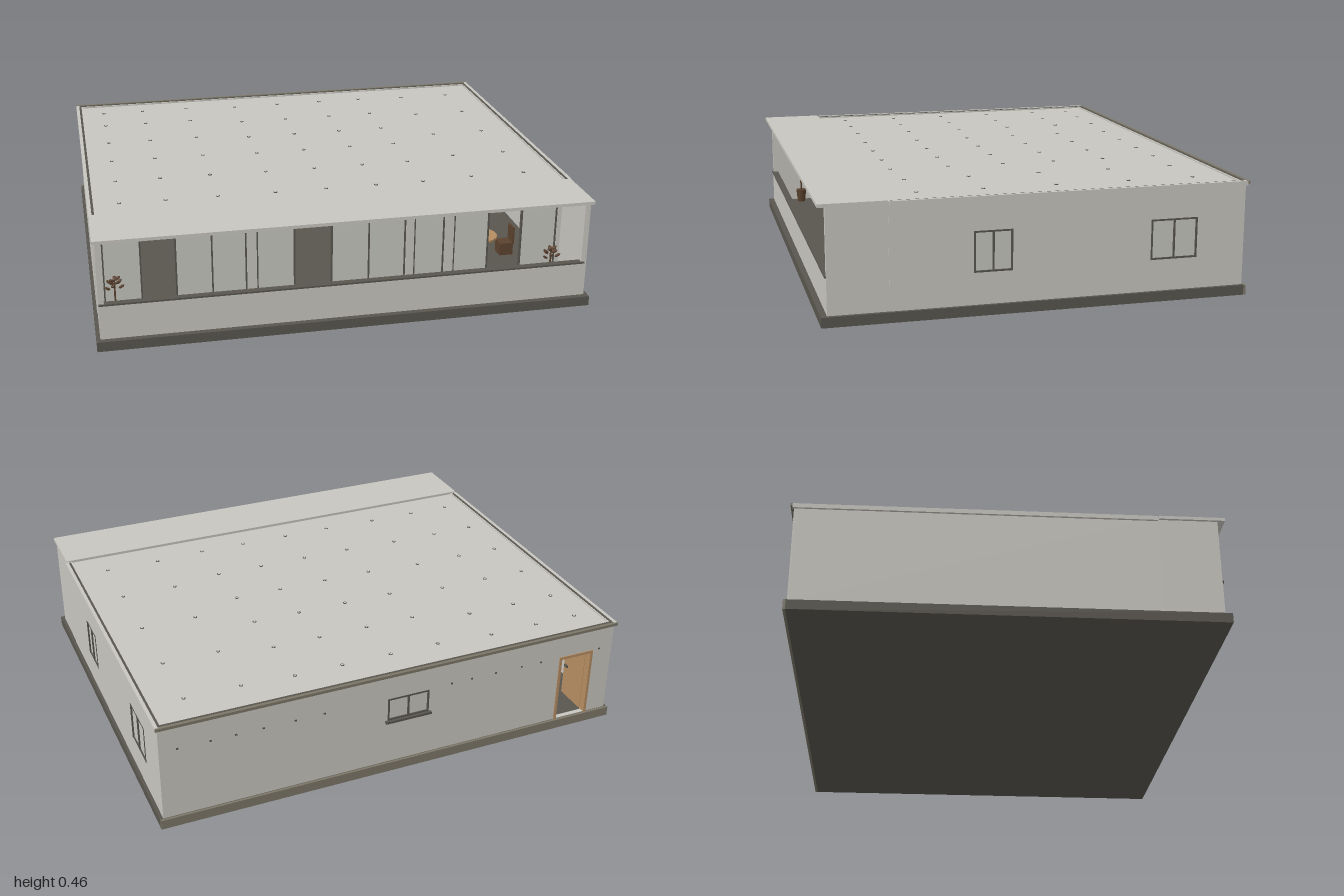
import * as THREE from 'three';

const mat = (name, color) => {
  const m = new THREE.MeshStandardMaterial({ color });
  m.name = name;
  return m;
};

export function createModel() {
  const plaster = mat('plaster', 0xc8c6bf);
  const pane = mat('pane', 0xc6c5be);
  const dark = mat('dark metal', 0x59564e);
  const plinth = mat('plinth', 0x7c7768);
  const wood = mat('wood', 0xb58d62);
  const brown = mat('dark wood', 0x5c4330);
  const white = mat('white', 0xeeeeea);
  const house = new THREE.Group();
  house.name = 'house';

  const add = (name, geo, m, parent = house) => {
    const mesh = new THREE.Mesh(geo, m);
    mesh.name = name;
    parent.add(mesh);
    return mesh;
  };
  // box given by its limits on each axis
  const box = (name, m, x0, x1, y0, y1, z0, z1, parent = house) => {
    const b = add(name, new THREE.BoxGeometry(x1 - x0, y1 - y0, z1 - z0), m, parent);
    b.position.set((x0 + x1) / 2, (y0 + y1) / 2, (z0 + z1) / 2);
    return b;
  };
  const group = (name, parent = house) => {
    const g = new THREE.Group();
    g.name = name;
    parent.add(g);
    return g;
  };
  // wall in the XY plane with rectangular holes [x0, x1, y0, y1]
  const wallGeo = (x0, x1, y0, y1, holes, depth) => {
    const rect = (P, a, b, c, d) => {
      const p = new P();
      p.moveTo(a, c); p.lineTo(b, c); p.lineTo(b, d); p.lineTo(a, d); p.closePath();
      return p;
    };
    const s = rect(THREE.Shape, x0, x1, y0, y1);
    for (const h of holes) s.holes.push(rect(THREE.Path, ...h));
    return new THREE.ExtrudeGeometry(s, { depth, bevelEnabled: false });
  };
  // framed window in the XY plane; bays listed in open carry no pane
  const windowUnit = (name, xs, y0, y1, open = [], frame = dark, t = 0.007) => {
    const g = group(name);
    const n = xs.length - 1;
    xs.forEach((x, i) => {
      const a = i === 0 ? x : i === n ? x - t : x - t / 2;
      box('mullion', frame, a, a + t, y0, y1, -0.008, 0.008, g);
    });
    box('headRail', frame, xs[0], xs[n], y1 - t, y1, -0.007, 0.007, g);
    box('bottomRail', frame, xs[0], xs[n], y0, y0 + t, -0.007, 0.007, g);
    for (let i = 0; i < n; i++) {
      if (!open.includes(i)) box('pane', pane, xs[i], xs[i + 1], y0, y1, -0.002, 0.002, g);
    }
    return g;
  };

  // base
  box('floorSlab', dark, -0.995, 0.995, 0, 0.04, -0.83, 0.835);
  box('backPlinth', plinth, -0.995, 0.995, 0, 0.04, -0.84, -0.829);

  // side walls with two windows on one side
  const sideWindows = [[0.11, 0.26], [-0.63, -0.44]];
  const holes = sideWindows.map(([a, b]) => [a, b, 0.165, 0.325]);
  const sideWall = add('windowedSideWall', wallGeo(-0.82, 0.58, 0.04, 0.455, holes, 0.02), plaster);
  sideWall.rotation.y = -Math.PI / 2;
  sideWall.position.x = 0.982;
  for (const [a, b] of sideWindows) {
    const w = windowUnit('sideWindow', [a, (a + b) / 2, b], 0.165, 0.325);
    w.rotation.y = -Math.PI / 2;
    w.position.x = 0.976;
  }
  box('plainSideWall', plaster, -0.982, -0.962, 0.04, 0.455, -0.82, 0.58);

  // back wall with a doorway and a small high window
  add('backWall', wallGeo(-0.982, 0.982, 0.04, 0.455,
    [[-0.89, -0.73, 0.041, 0.345], [-0.13, 0.05, 0.24, 0.34]], 0.02), plaster).position.z = -0.827;
  windowUnit('backWindow', [-0.13, -0.04, 0.05], 0.24, 0.34).position.z = -0.822;
  box('backWindowSill', dark, -0.14, 0.06, 0.23, 0.24, -0.84, -0.81);
  const door = group('backDoor');
  box('doorJamb', wood, -0.89, -0.878, 0.04, 0.345, -0.831, -0.8, door);
  box('doorJamb', wood, -0.742, -0.73, 0.04, 0.345, -0.831, -0.8, door);
  box('doorHead', wood, -0.89, -0.73, 0.333, 0.345, -0.831, -0.8, door);
  box('openLeaf', wood, -0.886, -0.876, 0.042, 0.333, -0.8, -0.66, door);
  box('doorHandle', dark, -0.876, -0.868, 0.18, 0.19, -0.69, -0.67, door);
  for (const x of [0.91, 0.78, 0.68, 0.57, 0.44, 0.32, -0.23, -0.32, -0.43, -0.55, -0.64, -0.92]) {
    box('wallVent', dark, x - 0.004, x + 0.004, 0.341, 0.348, -0.829, -0.826);
  }

  // roof slab with a dark gutter and low parapet on three sides
  box('roofSlab', plaster, -0.968, 0.968, 0.41, 0.449, -0.81, 0.58);
  for (const s of [-1, 1]) {
    const x = s * 0.984;
    box('sideCoping', plaster, x - 0.007, x + 0.007, 0.44, 0.458, -0.832, 0.575);
    box('sideGutter', dark, s * 0.974 - 0.007, s * 0.974 + 0.007, 0.44, 0.4565, -0.82, 0.57);
  }
  box('backCoping', plinth, -0.991, 0.991, 0.446, 0.458, -0.84, -0.827);
  box('backGutter', dark, -0.98, 0.98, 0.44, 0.4565, -0.829, -0.814);

  // small round roof fittings in rows
  const rows = [
    [[-0.865, -0.68, -0.47], [-0.705, -0.52, -0.275, -0.035, 0.21, 0.455]],
    [[-0.235, -0.025, 0.185, 0.385], [-0.685, -0.455, -0.235, -0.015, 0.22, 0.46]],
    [[0.6, 0.83], [-0.67, -0.4, -0.105, 0.185, 0.445]],
  ];
  const ringGeo = new THREE.CylinderGeometry(0.008, 0.008, 0.002, 12);
  const lampGeo = new THREE.CylinderGeometry(0.005, 0.005, 0.003, 12);
  for (const [xs, zs] of rows) for (const x of xs) for (const z of zs) {
    add('fittingRing', ringGeo, dark).position.set(x, 0.45, z);
    add('fittingCap', lampGeo, plaster).position.set(x, 0.4505, z);
  }

  // glazed wall behind the veranda
  const bays = [
    [[-0.95, -0.8, -0.66, -0.515, -0.375], [1]],
    [[-0.335, -0.18, -0.025, 0.13, 0.285], [1]],
    [[0.32, 0.45], []],
    [[0.49, 0.64, 0.785, 0.94], [1]],
  ];
  add('verandaWall', wallGeo(-0.965, 0.965, 0.04, 0.449,
    bays.map(([xs]) => [xs[0], xs[xs.length - 1], 0.041, 0.375]), 0.02), plaster).position.z = 0.56;
  for (const [xs, open] of bays) {
    windowUnit('slidingDoors', xs, 0.041, 0.375, open, dark, 0.006).position.z = 0.57;
  }

  // veranda: canopy, side walls, front parapet and rail
  box('canopy', plaster, -0.99, 0.985, 0.447, 0.46, 0.58, 0.838);
  for (const s of [-1, 1]) {
    box('verandaSideWall', plaster, s * 0.969 - 0.011, s * 0.969 + 0.011, 0.04, 0.447, 0.58, 0.81);
  }
  box('frontParapet', plaster, -0.979, 0.979, 0.04, 0.181, 0.79, 0.811);
  box('parapetRail', dark, -0.979, 0.97, 0.181, 0.188, 0.788, 0.816);

  // inner partitions and a wooden inner door
  box('partition', plaster, -0.43, -0.415, 0.04, 0.41, -0.8, 0.56);
  box('partition', plaster, 0.4, 0.415, 0.04, 0.41, -0.8, 0.56);
  box('crossWall', plaster, -0.415, 0.96, 0.04, 0.41, -0.1, -0.085);
  box('innerDoor', wood, -0.728, -0.66, 0.04, 0.34, -0.32, -0.31);
  box('innerDoorPost', brown, -0.71, -0.7, 0.04, 0.36, -0.31, -0.3);
  for (const y of [0.345, 0.36]) box('innerDoorSlat', wood, -0.74, -0.66, y, y + 0.006, -0.32, -0.3);

  // hanging lamp: a ring of arms with small shades
  const lamp = group('chandelier');
  lamp.position.set(-0.065, 0.34, 0.3);
  add('stem', new THREE.CylinderGeometry(0.002, 0.002, 0.07, 6), brown, lamp).position.y = 0.035;
  for (let i = 0; i < 6; i++) {
    const a = (i / 6) * Math.PI * 2;
    const arm = group('arm', lamp);
    arm.rotation.y = a;
    box('rod', brown, 0, 0.034, -0.002, 0.002, -0.002, 0.002, arm);
    add('shade', new THREE.ConeGeometry(0.008, 0.014, 8), white, arm).position.set(0.034, 0.006, 0);
  }

  // white shelving and a dining table
  const shelf = group('shelving');
  for (const y of [0.04, 0.11, 0.18, 0.25]) box('board', white, -0.41, -0.33, y, y + 0.01, 0.1, 0.4, shelf);
  for (const z of [0.1, 0.39]) box('upright', white, -0.41, -0.33, 0.04, 0.26, z, z + 0.01, shelf);
  const table = group('table');
  const top = add('tableTop', new THREE.CylinderGeometry(0.08, 0.08, 0.01, 20), wood, table);
  top.position.set(0.68, 0.13, 0.35);
  add('tableLeg', new THREE.CylinderGeometry(0.012, 0.03, 0.09, 10), brown, table).position.set(0.68, 0.085, 0.35);
  for (const s of [-1, 1]) {
    const x = 0.68 + s * 0.12;
    box('chairSeat', brown, x - 0.03, x + 0.03, 0.04, 0.095, 0.32, 0.38, table);
    box('chairBack', brown, x + s * 0.03 - 0.004, x + s * 0.03 + 0.004, 0.09, 0.165, 0.32, 0.38, table);
  }

  // potted plants on the veranda
  const plant = (x, z, h) => {
    const g = group('pottedPlant');
    g.position.set(x, 0.04, z);
    add('pot', new THREE.CylinderGeometry(0.025, 0.018, 0.06, 12), brown, g).position.y = 0.03;
    add('trunk', new THREE.CylinderGeometry(0.004, 0.004, h - 0.06, 6), brown, g).position.y = h / 2 + 0.02;
    for (let i = 0; i < 10; i++) {
      const a = i * 2.4, r = 0.012 + 0.002 * i;
      const leaf = add('leaf', new THREE.SphereGeometry(0.011, 6, 4), brown, g);
      leaf.scale.set(1.3, 0.5, 0.8);
      leaf.rotation.set(0, -a, 0.6);
      leaf.position.set(Math.cos(a) * r, h - 0.004 * i, Math.sin(a) * r);
    }
  };
  plant(-0.91, 0.68, 0.19);
  plant(0.88, 0.68, 0.16);

  return house;
}
